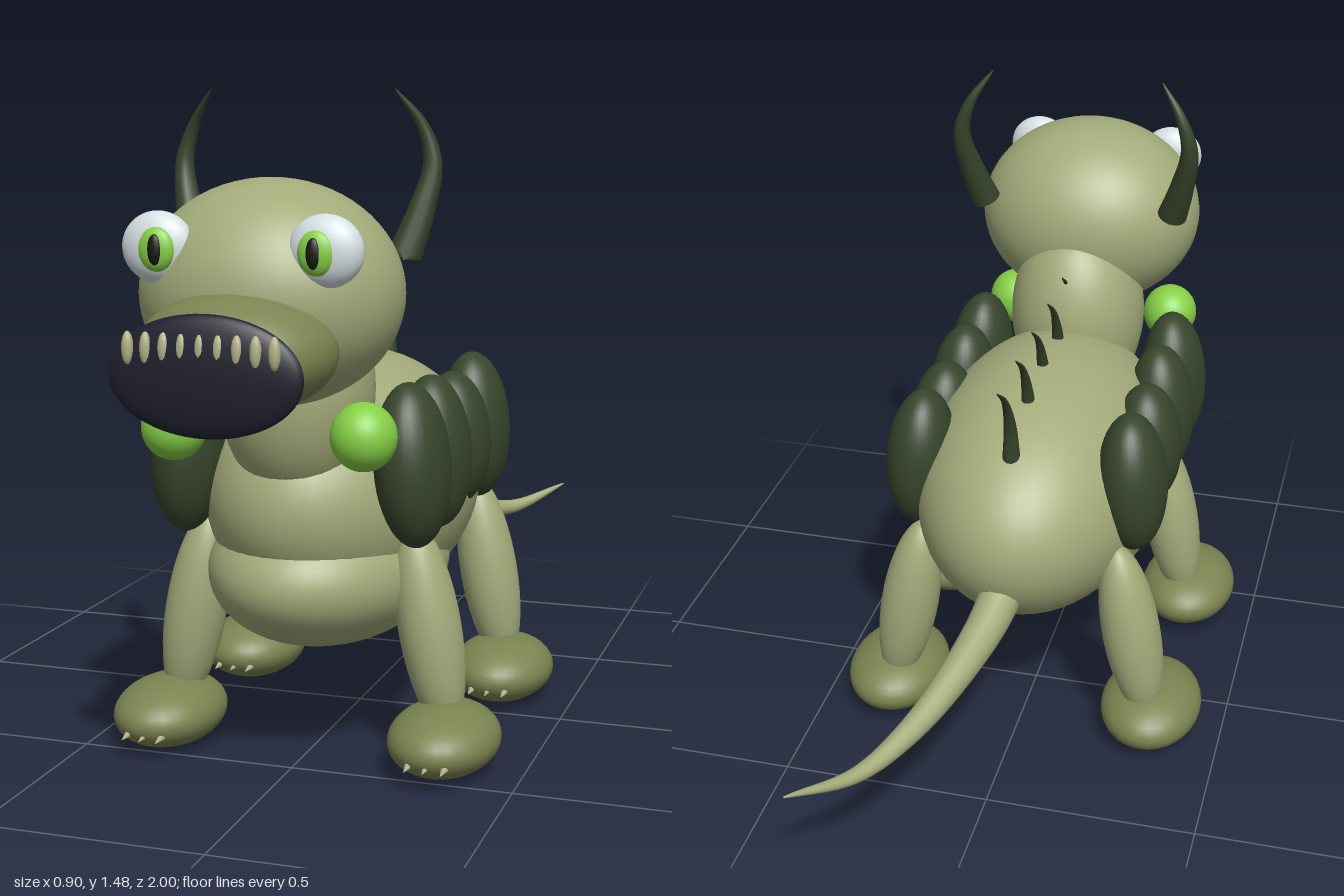
import * as THREE from 'three';

const material = (name, color) => {
  const m = new THREE.MeshStandardMaterial({ color });
  m.name = name;
  return m;
};

export function createModel() {
  const model = new THREE.Group();
  model.name = 'hornedCreature';
  const skin = material('olive skin', 0xa3ab7a);
  const darkSkin = material('dark olive skin', 0x7b8451);
  const shell = material('dark green shell', 0x38452c);
  const mouthDark = material('mouth dark', 0x20202f);
  const white = material('eye white', 0xd6dfe3);
  const green = material('bright green', 0x86d046);
  const black = material('pupil black', 0x15190f);
  const bone = material('bone', 0xb3b288);

  // Ellipsoid from centre and radii
  const blob = (name, mat, pos, radii, detail = 32) => {
    const mesh = new THREE.Mesh(new THREE.SphereGeometry(1, detail, Math.round(detail * 0.7)), mat);
    mesh.name = name;
    mesh.position.set(...pos);
    mesh.scale.set(...radii);
    model.add(mesh);
    return mesh;
  };

  // Curved tube that narrows from r0 to r1, closed at its root
  const taper = (name, mat, points, r0, r1, power = 1) => {
    const rings = 32, sides = 14;
    const curve = new THREE.CatmullRomCurve3(points.map(p => new THREE.Vector3(...p)));
    const geo = new THREE.TubeGeometry(curve, rings, 1, sides);
    const pos = geo.attributes.position;
    const v = new THREE.Vector3();
    for (let i = 0; i <= rings; i++) {
      const t = i / rings;
      const centre = curve.getPointAt(t);
      const r = i === 0 ? 0 : r1 + (r0 - r1) * Math.pow(1 - t, power);
      for (let j = 0; j <= sides; j++) {
        const k = i * (sides + 1) + j;
        v.fromBufferAttribute(pos, k).sub(centre).multiplyScalar(r).add(centre);
        pos.setXYZ(k, v.x, v.y, v.z);
      }
    }
    const mesh = new THREE.Mesh(geo, mat);
    mesh.name = name;
    model.add(mesh);
    return mesh;
  };

  // Trunk, neck and head
  blob('body', skin, [0, 0.585, 0.1], [0.3, 0.303, 0.495], 48);
  blob('belly', skin, [0, 0.42, 0.22], [0.265, 0.187, 0.385], 48);
  blob('neck', skin, [0, 0.85, 0.45], [0.17, 0.25, 0.18], 40);
  blob('head', skin, [0, 1.07, 0.598], [0.28, 0.237, 0.247], 48);
  blob('snout', darkSkin, [0, 0.97, 0.8], [0.205, 0.123, 0.187], 40);
  blob('mouth', mouthDark, [0, 0.945, 0.966], [0.2, 0.12, 0.033], 40);

  // Row of upper teeth
  for (let i = -4; i <= 4; i++) {
    blob('tooth', bone, [i * 0.0373, 0.997, 0.986], [0.012, 0.033, 0.012], 12);
  }

  // Tail
  taper('tail', skin, [[0, 0.55, -0.25], [0.005, 0.473, -0.36], [0.055, 0.396, -0.556],
    [0.118, 0.345, -0.717], [0.19, 0.325, -0.85], [0.297, 0.366, -1]], 0.056, 0.002, 0.8);

  // Curved spikes along the back
  for (const z of [0.26, 0.107, -0.05, -0.2, -0.362]) {
    taper('backSpike', shell, [[0, 0.78, z + 0.122], [0, 0.88, z + 0.112],
      [0, 0.965, z + 0.07], [0, 1.024, z]], 0.022, 0.001);
  }

  for (const s of [1, -1]) {
    const side = s > 0 ? 'left' : 'right';

    // Eye: ball, iris and pupil
    blob(side + 'Eyeball', white, [s * 0.177, 1.172, 0.77], [0.078, 0.073, 0.043]);
    blob(side + 'Iris', green, [s * 0.168, 1.17, 0.802], [0.039, 0.045, 0.02], 24);
    blob(side + 'Pupil', black, [s * 0.166, 1.17, 0.817], [0.015, 0.031, 0.009], 16);

    // Horn
    taper(side + 'Horn', shell, [[s * 0.235, 1.13, 0.438], [s * 0.265, 1.23, 0.408],
      [s * 0.283, 1.33, 0.383], [s * 0.26, 1.41, 0.383], [s * 0.208, 1.486, 0.41]], 0.038, 0.001, 0.8);

    // Chest orb
    blob(side + 'Orb', green, [s * 0.21, 0.783, 0.633], [0.07, 0.072, 0.071]);

    // Overlapping flank plates
    [[0.438, 0.18, 0.108], [0.262, 0.172, 0.1], [0.085, 0.155, 0.098], [-0.105, 0.176, 0.106]]
      .forEach(([z, ry, rz]) => {
        const plate = blob(side + 'FlankPlate', shell, [s * 0.258, 0.69, z], [0.082, ry, rz]);
        plate.rotation.z = s * 0.07;
      });

    // Legs, feet and claws
    for (const [end, legZ, footZ] of [['Front', 0.366, 0.412], ['Rear', -0.176, -0.134]]) {
      const leg = blob(side + end + 'Leg', skin, [s * 0.278, 0.315, legZ], [0.07, 0.238, 0.075]);
      leg.rotation.z = s * 0.18;
      blob(side + end + 'Foot', darkSkin, [s * 0.326, 0.081, footZ], [0.123, 0.077, 0.166]);
      for (const dx of [-0.04, 0, 0.04]) {
        const claw = new THREE.Mesh(new THREE.ConeGeometry(0.013, 0.06, 12), bone);
        claw.name = side + end + 'Claw';
        claw.position.set(s * 0.326 + dx, 0.062, footZ + 0.155);
        claw.rotation.x = Math.PI / 2 + 0.08;
        model.add(claw);
      }
    }
  }
  return model;
}
